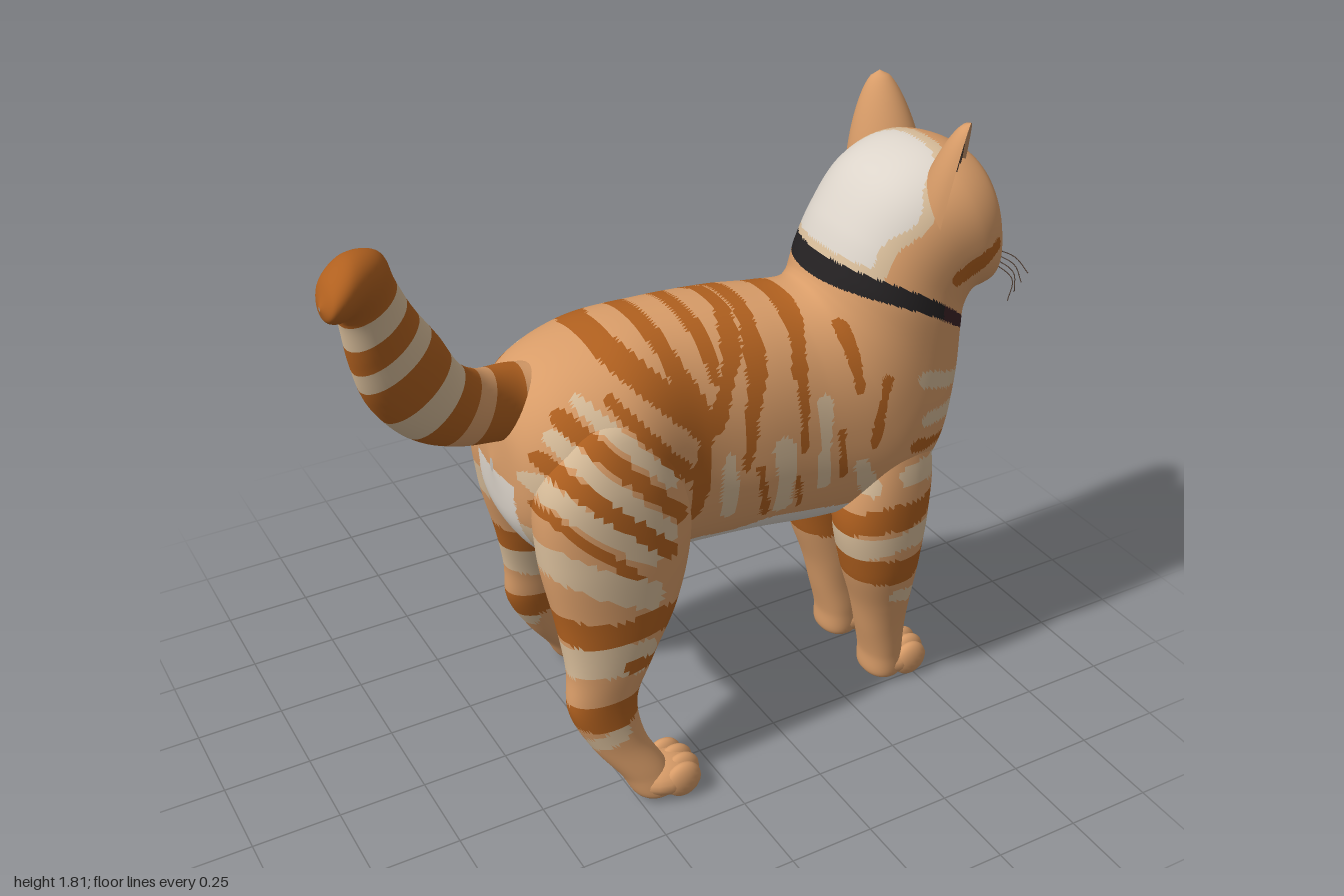
import * as THREE from 'three';

const mat = (name, color) => Object.assign(new THREE.MeshStandardMaterial({ color }), { name });

// Fur markings as strokes seen from the side: [x1, y1, x2, y2, halfWidth]
const ORANGE_BODY = [
  [-0.2, 1.3, 0, 1.08, 0.034], [-0.08, 1.33, 0, 1.1, 0.03], [0, 1.08, -0.03, 0.84, 0.028], [0.15, 1.33, 0.03, 1.09, 0.024],
  [0.04, 1.35, 0.05, 1.2, 0.02], [0.2, 1.34, 0.14, 1.1, 0.028], [0.14, 1.1, 0.12, 0.94, 0.016],
  [0.32, 1.34, 0.29, 1.18, 0.026], [0.29, 1.18, 0.29, 0.96, 0.014], [0.42, 1.27, 0.45, 1.1, 0.016],
  [0.52, 1.12, 0.5, 0.92, 0.014], [0.16, 0.93, 0.2, 0.76, 0.012], [0.28, 0.86, 0.3, 0.76, 0.01],
  [0.4, 0.98, 0.42, 0.84, 0.012], [0.64, 0.88, 0.77, 0.86, 0.02], [0.72, 1.37, 0.84, 1.44, 0.025],
];
const ORANGE_LEGS = [
  [-0.25, 1.22, -0.06, 0.98, 0.02], [-0.37, 1.18, -0.09, 0.88, 0.024], [-0.43, 1.09, -0.14, 0.8, 0.022],
  [-0.45, 0.96, -0.24, 0.76, 0.018], [-0.46, 0.61, 0.02, 0.56, 0.042], [-0.44, 0.31, -0.1, 0.35, 0.044],
  [-0.26, 0.47, -0.08, 0.44, 0.02], [0.44, 0.63, 0.78, 0.68, 0.042], [0.48, 0.46, 0.76, 0.47, 0.046],
];
const CREAM = [
  [-0.32, 1.22, -0.12, 0.99, 0.018], [-0.4, 1.14, -0.14, 0.86, 0.028], [-0.45, 1.02, -0.2, 0.8, 0.028],
  [-0.45, 0.82, -0.2, 0.69, 0.045], [-0.44, 0.5, -0.22, 0.5, 0.055], [-0.4, 0.22, -0.3, 0.25, 0.03],
  [0.07, 0.98, 0.08, 0.8, 0.024], [0.23, 0.98, 0.25, 0.78, 0.03], [0.35, 1.08, 0.36, 0.82, 0.02],
  [0.47, 0.86, 0.52, 0.76, 0.026], [0.64, 1.1, 0.8, 1.04, 0.026], [0.66, 0.96, 0.8, 0.95, 0.026],
  [0.62, 0.78, 0.78, 0.78, 0.036], [0.47, 0.56, 0.76, 0.57, 0.036], [0.62, 0.36, 0.68, 0.34, 0.025],
];
const marked = (list, x, y) => list.some(([a, b, c, d, w]) => {
  const dx = c - a, dy = d - b;
  const t = THREE.MathUtils.clamp(((x - a) * dx + (y - b) * dy) / (dx * dx + dy * dy), 0, 1);
  return Math.hypot(x - a - t * dx, y - b - t * dy) < w * (0.95 + 0.2 * Math.sin(29 * y + 23 * x));
});

// Paint rules return 0 tan, 1 orange, 2 cream, 3 white, 4 collar black, 5 collar maroon
const paintFur = (x, y) => marked(ORANGE_LEGS, x, y) ? 1 : marked(CREAM, x, y) ? 2 : 0;
const paintLeg = (x, y, z) => {
  if (x > 0.66 && y > 0.72 && Math.abs(z - 0.09) < 0.1) return 3;
  if (x < 0.05 && y > 0.64 && y < 0.95 && Math.abs(z) < 0.15) return 3;
  return paintFur(x, y);
};
const paintBody = (x, y, z) => {
  const off = Math.abs(z - 0.09), wob = 0.012 * Math.sin(31 * y + 17 * x), dx = Math.max(x - 0.42, 0);
  const above = y - (1.39 - 0.16 * dx - 0.95 * dx * dx);
  if (x > 0.38 && Math.abs(above) < 0.031 - dx * 0.032) return x > 0.68 ? 5 : 4;
  if (x > 0.38 && above > 0) {
    const nape = x - 0.48 - (y - 1.42) * 0.9 - wob;
    if (nape < 0 && off < 0.21 && above > 0.05) return 3;
    if (nape < 0.04) return 2;
    if (x > 0.78 && y < 1.335 - off * 0.35 && off < 0.17) return 3;
  } else {
    if (x > 0.66 && off < 0.105 + wob * 2) return 3;
    if (x < -0.4 && Math.abs(z) < 0.11 && y < 0.98) return 3;
    if (y < 0.71 + wob && x > -0.3 && x < 0.64) return 3;
  }
  return marked(ORANGE_BODY, x, y) ? 1 : paintFur(x, y);
};
// Tail bands: [end along the tail, colour]
const BANDS = [[0.07, 0], [0.165, 1], [0.215, 0], [0.29, 1], [0.35, 2], [0.43, 1], [0.475, 2], [0.53, 1], [0.59, 2], [1.1, 1]];
const paintTail = (x, y, z, t) => BANDS.find(b => t < b[0])[1];

// Skin through rings [topX, topY, bottomX, bottomY, centreZ, halfWidth], coloured face by face
function loft(name, rings, rows, cols, paint, materials, power = 0.9) {
  const curve = f => new THREE.CatmullRomCurve3(rings.map(f));
  const tops = curve(r => new THREE.Vector3(r[0], r[1], 0));
  const bottoms = curve(r => new THREE.Vector3(r[2], r[3], 0));
  const sides = curve((r, i) => new THREE.Vector3(r[4], r[5], i * 0.1));
  const spine = curve(r => new THREE.Vector3(r[0] + r[2], r[1] + r[3], 0));
  const soft = v => Math.sign(v) * Math.abs(v) ** power;
  const pos = [], buckets = materials.map(() => []);
  // Rows are spaced partly by ring and partly by length
  const rowT = i => 0.5 * (i / rows + spine.getUtoTmapping(i / rows));
  for (let i = 0; i <= rows; i++) {
    const t = rowT(i), T = tops.getPoint(t), B = bottoms.getPoint(t), S = sides.getPoint(t);
    for (let j = 0; j < cols; j++) {
      const a = j / cols * Math.PI * 2, c = soft(Math.cos(a));
      pos.push((T.x + B.x + (T.x - B.x) * c) / 2, (T.y + B.y + (T.y - B.y) * c) / 2,
        S.x + Math.max(S.y, 0.001) * soft(Math.sin(a)));
    }
  }
  const face = (t, ...v) => {
    const mid = k => (pos[v[0] * 3 + k] + pos[v[1] * 3 + k] + pos[v[2] * 3 + k]) / 3;
    buckets[paint(mid(0), mid(1), mid(2), t)].push(...v);
  };
  for (let i = 0; i < rows; i++) for (let j = 0; j < cols; j++) {
    const k = (j + 1) % cols, a = i * cols + j, b = i * cols + k, c = a + cols, d = b + cols, t = rowT(i);
    face(t, a, b, c);
    face(t, b, d, c);
  }
  const geo = new THREE.BufferGeometry();
  geo.setAttribute('position', new THREE.Float32BufferAttribute(pos, 3));
  geo.setIndex(buckets.flat());
  let start = 0;
  buckets.forEach((b, m) => { if (b.length) geo.addGroup(start, b.length, m); start += b.length; });
  geo.computeVertexNormals();
  const mesh = new THREE.Mesh(geo, materials);
  mesh.name = name;
  return mesh;
}

// Crescent shell for one face of an ear; depth sets how deeply it cups
function earShell(depth, material) {
  const geo = new THREE.PlaneGeometry(1, 1, 20, 20), p = geo.attributes.position;
  for (let i = 0; i < p.count; i++) {
    const a = p.getX(i) * Math.PI, u = p.getY(i) + 0.5;
    const w = 0.108 * Math.sqrt(1 - u ** 2) * (1 - 0.28 * u);
    p.setXYZ(i, w * Math.sin(a), u * 0.26, -depth * w * Math.cos(a));
  }
  geo.computeVertexNormals();
  return new THREE.Mesh(geo, material);
}

export function createModel() {
  const tan = mat('tan fur', 0xd89c68), orange = mat('orange stripe', 0xb0601f), cream = mat('cream fur', 0xd8bd9a);
  const white = mat('white fur', 0xdcd4ca), black = mat('collar black', 0x242122), maroon = mat('collar maroon', 0x3c2226);
  const green = mat('eye green', 0x7fa35a), pink = mat('nose and inner ear', 0xc9966c), dark = mat('whisker dark', 0x4a3a30);
  tan.side = pink.side = THREE.DoubleSide;
  const fur = [tan, orange, cream, white, black, maroon];
  const cat = new THREE.Group();
  cat.name = 'cat';
  const ball = (name, m, x, y, z, rx, ry, rz, parent = cat) => {
    const s = new THREE.Mesh(new THREE.SphereGeometry(1, 18, 12), m);
    s.name = name;
    s.position.set(x, y, z);
    s.scale.set(rx, ry, rz);
    parent.add(s);
  };
  const hair = (name, parent, r, ...pts) => {
    const curve = new THREE.CatmullRomCurve3(pts.map(p => new THREE.Vector3(...p)));
    const h = new THREE.Mesh(new THREE.TubeGeometry(curve, 10, r, 5), dark);
    h.name = name;
    parent.add(h);
  };

  // Torso, neck and head as one skin, with the collar painted on
  cat.add(loft('bodyAndHead', [
    [-0.49, 1.01, -0.49, 0.97, 0, 0.01], [-0.465, 1.15, -0.465, 0.82, 0, 0.16], [-0.38, 1.25, -0.38, 0.71, 0, 0.25],
    [-0.2, 1.315, -0.2, 0.64, 0, 0.3], [0, 1.33, 0, 0.62, 0, 0.265], [0.2, 1.325, 0.22, 0.61, 0.015, 0.262],
    [0.33, 1.32, 0.45, 0.59, 0.04, 0.25], [0.39, 1.33, 0.69, 0.61, 0.07, 0.248], [0.405, 1.345, 0.8, 0.76, 0.08, 0.25],
    [0.415, 1.365, 0.842, 0.98, 0.08, 0.25], [0.43, 1.4, 0.843, 1.15, 0.08, 0.25], [0.475, 1.5, 0.845, 1.21, 0.08, 0.243],
    [0.575, 1.625, 0.855, 1.245, 0.08, 0.248], [0.72, 1.68, 0.875, 1.25, 0.08, 0.25], [0.835, 1.655, 0.9, 1.25, 0.09, 0.212],
    [0.892, 1.6, 0.918, 1.25, 0.1, 0.145], [0.922, 1.54, 0.935, 1.255, 0.106, 0.09], [0.94, 1.475, 0.95, 1.265, 0.11, 0.064],
    [0.962, 1.43, 0.96, 1.285, 0.11, 0.046], [0.985, 1.405, 0.968, 1.31, 0.11, 0.03], [0.99, 1.385, 0.98, 1.35, 0.11, 0.004],
  ], 210, 180, paintBody, fur, 0.88));

  // Tail curling up and to the side
  cat.add(loft('tail', [
    [-0.36, 1.05, -0.33, 1.25, 0, 0.09], [-0.48, 1.07, -0.42, 1.265, 0, 0.092], [-0.63, 1.125, -0.52, 1.3, 0.05, 0.09],
    [-0.76, 1.22, -0.6, 1.37, 0.11, 0.088], [-0.86, 1.36, -0.67, 1.49, 0.16, 0.085], [-0.9, 1.49, -0.74, 1.6, 0.19, 0.082],
    [-0.925, 1.62, -0.79, 1.7, 0.22, 0.08], [-0.94, 1.655, -0.83, 1.785, 0.26, 0.08], [-0.965, 1.67, -0.91, 1.81, 0.3, 0.08],
    [-0.99, 1.69, -0.97, 1.78, 0.325, 0.06], [-1, 1.72, -1, 1.73, 0.34, 0.004],
  ], 110, 36, paintTail, fur, 1));

  // Legs and paws; rings are [y, backX, frontX, sideways, halfWidth]
  const frontRings = [[1.08, 0.6, 0.64, 0.08, 0.03], [0.94, 0.54, 0.7, 0.11, 0.1], [0.8, 0.5, 0.75, 0.13, 0.112],
    [0.62, 0.468, 0.752, 0.138, 0.113], [0.45, 0.5, 0.735, 0.14, 0.103], [0.3, 0.55, 0.725, 0.13, 0.085],
    [0.2, 0.575, 0.72, 0.125, 0.075], [0.1, 0.6, 0.72, 0.12, 0.073], [0.02, 0.61, 0.72, 0.12, 0.068], [0.01, 0.66, 0.67, 0.12, 0.003]];
  const rearRings = [[1.22, -0.24, -0.18, 0.14, 0.03], [1.15, -0.36, -0.1, 0.16, 0.11], [1, -0.45, -0.05, 0.19, 0.135],
    [0.8, -0.46, -0.03, 0.21, 0.128], [0.6, -0.43, -0.08, 0.235, 0.1], [0.45, -0.415, -0.165, 0.26, 0.075],
    [0.33, -0.42, -0.22, 0.272, 0.062], [0.2, -0.365, -0.205, 0.29, 0.055], [0.09, -0.29, -0.15, 0.315, 0.058],
    [0.02, -0.25, -0.13, 0.33, 0.055], [0.01, -0.2, -0.19, 0.33, 0.003]];
  const paw = (name, x, z) => {
    const g = new THREE.Group();
    g.name = name;
    ball('pad', tan, x + 0.015, 0.053, z, 0.1, 0.053, 0.08, g);
    for (const o of [-0.057, -0.02, 0.02, 0.057])
      ball('toe', tan, x + 0.068 - Math.abs(o) * 0.4, 0.056, z + o, 0.055, 0.056, 0.028, g);
    cat.add(g);
  };
  for (const s of [1, -1]) {
    const label = s > 0 ? 'Right' : 'Left';
    const step = y => s > 0 ? 0 : 0.08 * THREE.MathUtils.clamp((1 - y) * 1.3, 0, 1);
    cat.add(loft('frontLeg' + label, frontRings.map(([y, b, f, z, w]) => [f, y, b, y, 0.07 + s * z, w]), 84, 52, paintLeg, fur));
    cat.add(loft('rearLeg' + label, rearRings.map(([y, b, f, z, w]) => [f + step(y), y, b + step(y), y, s * z, w]), 84, 52, paintLeg, fur));
    paw('frontPaw' + label, 0.69, 0.07 + s * 0.12);
    paw('rearPaw' + label, -0.175 + step(0), 0.005 + s * 0.32);

    // Ear with fine inner hairs
    const ear = new THREE.Group();
    ear.name = 'ear' + label;
    ear.add(earShell(0.85, tan), earShell(0.25, pink));
    for (const o of [-0.045, -0.015, 0.015, 0.045])
      hair('earHair', ear, 0.002, [o, 0.05, -0.012], [o * 1.2, 0.11, -0.008], [o * 0.7, 0.18, -0.008]);
    ear.position.set(s > 0 ? 0.735 : 0.755, 1.535, 0.078 + s * 0.162);
    ear.rotation.set(0.2 * s, Math.atan2(0.66, 0.75 * s), 0);
    cat.add(ear);

    // Eye with dark rim and pupil
    const eye = new THREE.Group();
    eye.name = 'eye' + label;
    ball('rim', black, -0.008, 0, 0, 0.022, 0.04, 0.046, eye);
    ball('iris', green, 0, 0, 0, 0.028, 0.037, 0.042, eye);
    ball('pupil', black, 0.022, 0, 0, 0.008, 0.014, 0.006, eye);
    eye.position.set(0.897, 1.482, 0.108 + s * 0.092);
    eye.rotation.set(0, -0.65 * s, 0.15);
    cat.add(eye);

    // Muzzle, mouth and whiskers
    ball('muzzle' + label, white, 0.927, 1.32, 0.11 + s * 0.03, 0.05, 0.045, 0.058);
    hair('mouth', cat, 0.003, [0.979, 1.345, 0.11], [0.974, 1.305, 0.11 + s * 0.015], [0.952, 1.29, 0.11 + s * 0.055]);
    for (let i = 0; i < 4; i++)
      hair('whisker', cat, 0.0014, [0.95, 1.345 - i * 0.013, 0.11 + s * 0.06],
        [0.955, 1.355 - i * 0.022, 0.11 + s * 0.15], [0.93 - i * 0.01, 1.35 - i * 0.03, 0.1 + s * (0.25 - i * 0.012)]);
  }

  // Nose and chin
  ball('nose', pink, 0.978, 1.385, 0.11, 0.022, 0.018, 0.027);
  ball('chin', white, 0.922, 1.276, 0.11, 0.038, 0.027, 0.048);

  // Round collar tag lying on the chest
  const tag = new THREE.Mesh(new THREE.CylinderGeometry(0.05, 0.05, 0.008, 24), black);
  tag.name = 'collarTag';
  tag.rotation.z = Math.PI / 2;
  tag.scale.x = 0.85;
  tag.position.set(0.846, 1.068, 0.1);
  cat.add(tag);
  return cat;
}
